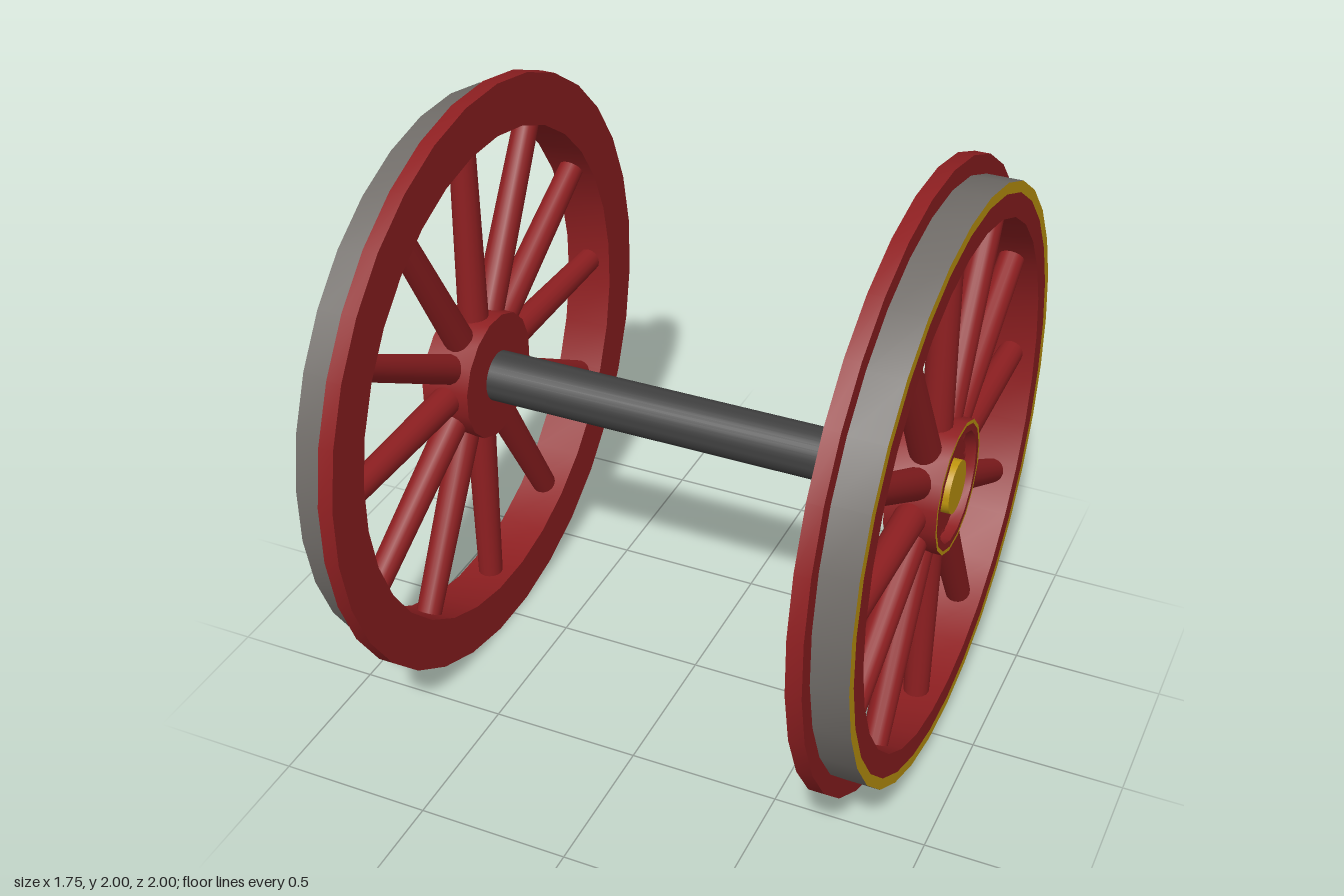
import * as THREE from 'three';
import { toCreasedNormals } from 'three/addons/utils/BufferGeometryUtils.js';

const paint = (color) => new THREE.MeshStandardMaterial({ color });
const red = paint(0x8e1f21);
const yellow = paint(0xc2980f);
const steel = paint(0x706c68);
const dark = paint(0x404040);

// Axle-aligned solid of revolution: profile of [radius, x], flats facing up and sideways.
function turned(name, profile, sides, material) {
  const points = profile.map(([r, x]) => new THREE.Vector2(r / Math.cos(Math.PI / sides), x));
  const lathe = new THREE.LatheGeometry(points, sides, Math.PI / sides);
  lathe.rotateZ(-Math.PI / 2);
  const mesh = new THREE.Mesh(toCreasedNormals(lathe, 0.6), material);
  mesh.name = name;
  return mesh;
}

const INNER = 0.71, FLANGE = 0.76, OUTER = 0.875;

function createWheel(name) {
  const wheel = new THREE.Group();
  wheel.name = name;

  // Rim: flange, steel tread and striped outer face
  wheel.add(
    turned('rimAndFlange', [[0.905, OUTER], [0.83, OUTER], [0.83, INNER], [1, INNER], [1, FLANGE], [0.94, FLANGE]], 32, red),
    turned('tread', [[0.94, FLANGE], [0.94, OUTER]], 32, steel),
    turned('rimStripe', [[0.94, OUTER], [0.905, OUTER]], 32, yellow),
  );

  // Hub: dished outer face with a thin stripe and a raised axle cap
  wheel.add(
    turned('hubBarrel', [[0, INNER], [0.21, INNER], [0.21, OUTER]], 16, red),
    turned('hubStripe', [[0.21, OUTER], [0.198, OUTER]], 16, yellow),
    turned('hubDish', [[0.198, OUTER], [0.175, OUTER], [0.175, 0.84], [0, 0.84]], 16, red),
    turned('axleCap', [[0.085, 0.84], [0.085, 0.873], [0, 0.873]], 32, yellow),
  );

  // Twelve slightly tapered spokes
  const spokeGeometry = new THREE.CylinderGeometry(0.042, 0.051, 0.69, 16, 1, true);
  spokeGeometry.translate(0, 0.505, 0);
  for (let i = 0; i < 12; i++) {
    const spoke = new THREE.Mesh(spokeGeometry, red);
    spoke.name = 'spoke' + (i + 1);
    spoke.position.x = (INNER + OUTER) / 2;
    spoke.rotation.x = (i / 12) * Math.PI * 2;
    wheel.add(spoke);
  }
  return wheel;
}

export function createModel() {
  const model = new THREE.Group();
  model.name = 'wheelset';

  const leftWheel = createWheel('leftWheel');
  const rightWheel = createWheel('rightWheel');
  rightWheel.rotation.y = Math.PI;

  const axle = turned('axle', [[0.085, -0.72], [0.085, 0.72]], 32, dark);

  const assembly = new THREE.Group();
  assembly.name = 'wheelsAndAxle';
  assembly.position.y = 1;
  assembly.add(leftWheel, rightWheel, axle);
  model.add(assembly);
  return model;
}
